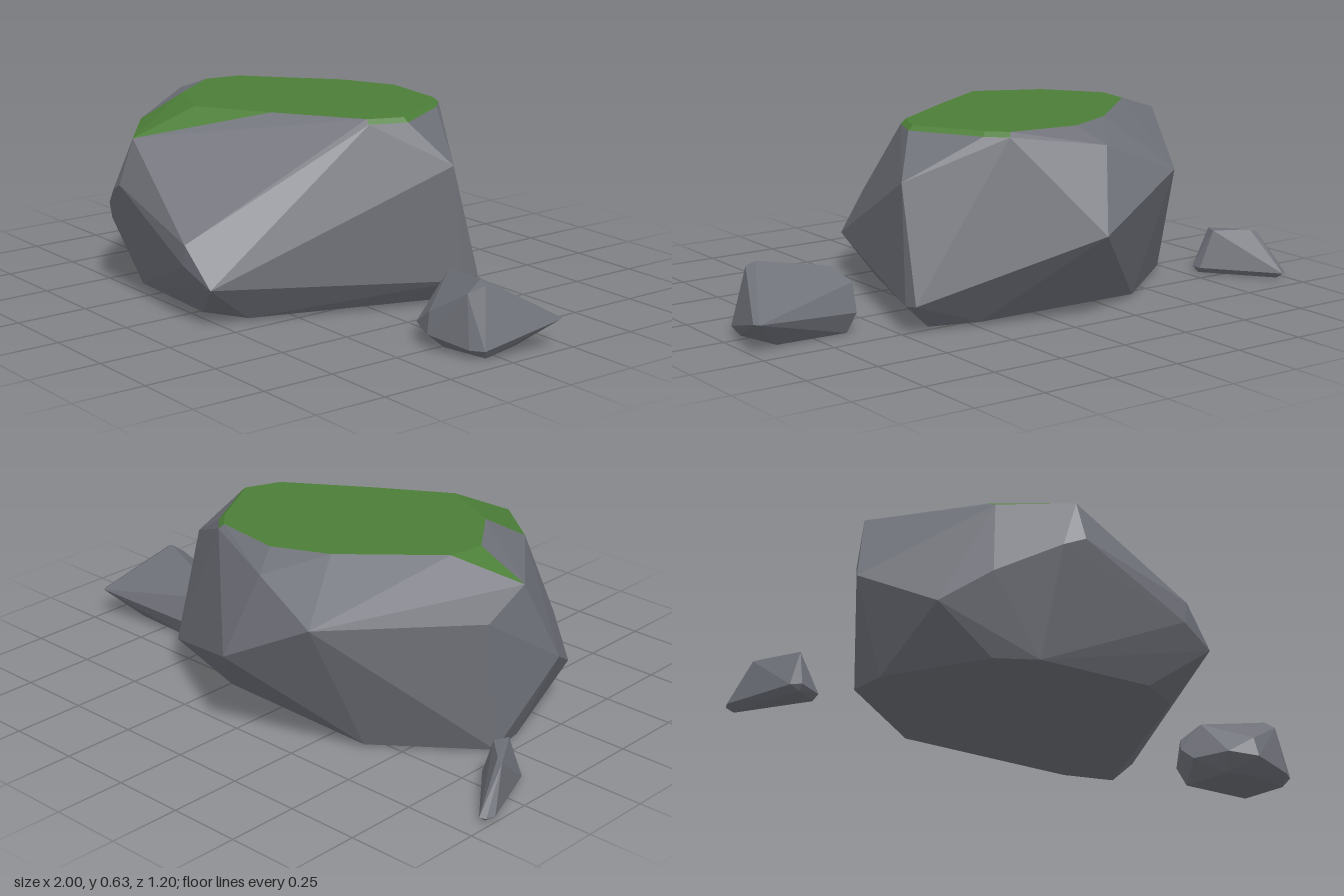
import * as THREE from 'three';
import { ConvexGeometry } from 'three/addons/geometries/ConvexGeometry.js';

const stone = new THREE.MeshStandardMaterial({ name: 'stoneGrey', color: 0x6e7078 });
const moss = new THREE.MeshStandardMaterial({ name: 'mossGreen', color: 0x4c7e38 });

// Outline of the mossy top, [x, z]
const topOutline = [
  [-0.07, -0.42], [0.18, -0.39], [0.24, -0.33], [0.37, -0.1], [0.32, 0.02], [0.04, 0.21],
  [-0.2, 0.36], [-0.43, 0.25], [-0.57, 0.06], [-0.55, -0.07], [-0.26, -0.33],
];
const topCentre = [-0.1, -0.05];

// The outline at a given height, shrunk towards its centre
const topRing = (y, scale) => topOutline.map(([x, z]) => [
  topCentre[0] + (x - topCentre[0]) * scale, y, topCentre[1] + (z - topCentre[1]) * scale,
]);

// Corner points of each stone, [x, y, z]
const boulderShoulders = [
  [-0.75, 0.57, 0.03], [-0.47, 0.55, 0.38], [-0.27, 0.54, 0.54],  // moss overhang corners
  [0.47, 0.48, -0.21], [-0.37, 0.48, -0.54], [-0.12, 0.58, -0.5], [-0.71, 0.46, -0.09],
];

const boulderSides = [
  [-0.27, 0.39, 0.595], [-0.34, 0.36, 0.575], [0.11, 0.27, 0.595], [0.1, 0.2, 0.595],
  [0.215, 0.14, 0.57], [-0.53, 0.26, 0.475], [-0.67, 0.16, 0.38], [-0.82, 0.31, 0.13],
  [-0.05, 0.31, -0.6], [0.485, 0.1, -0.31], [0.485, 0.09, -0.25],
];

const boulderBase = [
  [0.4, -0.25], [0.23, -0.3], [-0.39, -0.31], [-0.72, -0.05], [-0.7, 0.08],
  [-0.48, 0.39], [-0.35, 0.46], [0.04, 0.48], [0.18, 0.4],
].map(([x, z]) => [x, 0.01, z]);

const pointedStone = [
  [0.99, 0.1, -0.21], [1, 0.1, -0.19], [0.87, 0.24, 0.02], [0.9, 0.225, 0.03],
  [0.87, 0.2, 0.075], [0.94, 0.03, 0.06], [0.9, 0.03, 0.09], [0.92, 0, 0.04],
  [0.75, 0.05, 0.13], [0.74, 0.12, 0.115], [0.65, 0.06, 0.09], [0.67, 0, 0.04],
  [0.59, 0.06, -0.03], [0.58, 0.11, -0.09], [0.6, 0.16, -0.12], [0.64, 0.205, -0.05],
  [0.61, 0.07, -0.16], [0.63, 0, -0.13], [0.88, 0, -0.12], [0.76, 0, 0.07],
];

const sliverStone = [
  [-0.955, 0.15, -0.31], [-0.93, 0.16, -0.3], [-0.86, 0.15, -0.16], [-0.84, 0.15, -0.21],
  [-1, 0.02, -0.39], [-0.99, 0.02, -0.42], [-0.97, 0.02, -0.43], [-0.79, 0.02, -0.2],
  [-0.79, 0.02, -0.16], [-0.87, 0.02, -0.115], [-0.9, 0.02, -0.14],
  [-0.97, 0, -0.4], [-0.8, 0, -0.18], [-0.87, 0, -0.13],
];

function hull(points) {
  return new ConvexGeometry(points.map((p) => new THREE.Vector3(...p)));
}

// The top with its rim, the front overhang and the small side tongue are mossy
function isMossy(a, b, c) {
  const mid = a.clone().add(b).add(c).divideScalar(3);
  const low = Math.min(a.y, b.y, c.y);
  if (low > 0.6) return true;
  if (low < 0.53) return false;
  const overhang = mid.x > -0.45 && mid.x < -0.02 && mid.z > 0.2;
  const tongue = mid.x < -0.55 && mid.z < 0.04 && mid.y > 0.6;
  return overhang || tongue;
}

// Give each triangle of the boulder its material
function paintBoulder(geometry) {
  const pos = geometry.attributes.position;
  const corner = (i) => new THREE.Vector3().fromBufferAttribute(pos, i);
  for (let i = 0; i < pos.count; i += 3) {
    geometry.addGroup(i, 3, isMossy(corner(i), corner(i + 1), corner(i + 2)) ? 1 : 0);
  }
  return geometry;
}

export function createModel() {
  const group = new THREE.Group();
  group.name = 'mossyRocks';
  const add = (name, geometry, material) => {
    const mesh = new THREE.Mesh(geometry, material);
    mesh.name = name;
    group.add(mesh);
  };

  const boulder = hull([
    ...topRing(0.635, 0.96), ...topRing(0.62, 1),
    ...boulderShoulders, ...boulderSides, ...boulderBase,
  ]);
  add('boulder', paintBoulder(boulder), [stone, moss]);
  add('pointedStone', hull(pointedStone), stone);
  add('sliverStone', hull(sliverStone), stone);
  return group;
}
